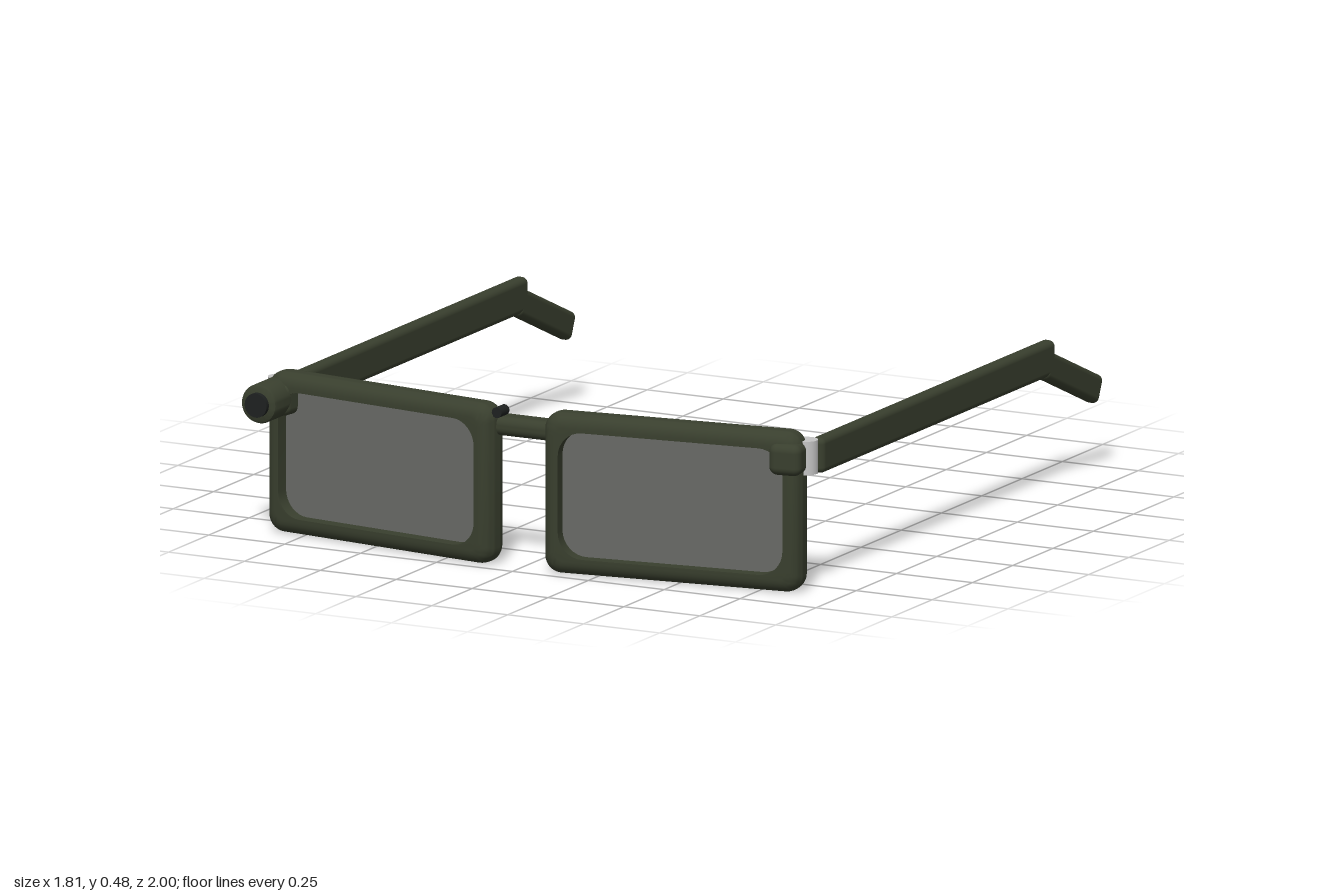
import * as THREE from 'three';
import { toCreasedNormals } from 'three/addons/utils/BufferGeometryUtils.js';
import { RoundedBoxGeometry } from 'three/addons/geometries/RoundedBoxGeometry.js';

const frameMat = new THREE.MeshStandardMaterial({ color: 0x393f2e });
frameMat.name = 'olive frame';
const lensMat = new THREE.MeshStandardMaterial({ color: 0x686a66 });
lensMat.name = 'grey lens';
const metalMat = new THREE.MeshStandardMaterial({ color: 0xc4c4c4 });
metalMat.name = 'hinge metal';
const darkMat = new THREE.MeshStandardMaterial({ color: 0x1e2120 });
darkMat.name = 'dark glass';

function add(parent, name, geometry, material, x = 0, y = 0, z = 0) {
  const mesh = new THREE.Mesh(geometry, material);
  mesh.name = name;
  mesh.position.set(x, y, z);
  parent.add(mesh);
  return mesh;
}

// Counter-clockwise outline of a rounded rectangle, 9 points per corner
function roundedRect(w, h, r) {
  const pts = [];
  for (let c = 0; c < 4; c++) {
    const cx = (c === 0 || c === 3 ? 1 : -1) * (w / 2 - r);
    const cy = (c < 2 ? 1 : -1) * (h / 2 - r);
    for (let i = 0; i <= 8; i++) {
      const a = (c + i / 8) * Math.PI / 2;
      pts.push(new THREE.Vector2(cx + r * Math.cos(a), cy + r * Math.sin(a)));
    }
  }
  return pts;
}

const W = 0.8, H = 0.48, DEPTH = 0.1, RIM = 0.051, ROUND = 0.04;

// Rim: square-cut opening with a softly rounded outside, lofted through rings
function rimGeometry() {
  const half = DEPTH / 2;
  const profile = [[RIM, half, 0.075]]; // inset, z, corner radius
  for (let i = 0; i <= 6; i++) {
    const a = i / 6 * Math.PI / 2;
    const inset = ROUND * (1 - Math.sin(a));
    profile.push([inset, half - ROUND + ROUND * Math.cos(a), 0.05 - inset * 0.5]);
  }
  const front = profile.length;
  for (let i = front - 1; i >= 0; i--) profile.push([profile[i][0], -profile[i][1], profile[i][2]]);

  const pos = [], idx = [];
  const n = 36, m = profile.length;
  for (const [inset, z, r] of profile) {
    for (const p of roundedRect(W - 2 * inset, H - 2 * inset, r)) pos.push(p.x, p.y, z);
  }
  for (let i = 0; i < m; i++) {
    for (let j = 0; j < n; j++) {
      const i2 = (i + 1) % m, j2 = (j + 1) % n;
      const a = i * n + j, b = i2 * n + j, c = i2 * n + j2, d = i * n + j2;
      idx.push(a, b, c, a, c, d);
    }
  }
  const g = new THREE.BufferGeometry();
  g.setAttribute('position', new THREE.Float32BufferAttribute(pos, 3));
  g.setIndex(idx);
  return toCreasedNormals(g, 0.7);
}

function lensGeometry() {
  const shape = new THREE.Shape(roundedRect(W - 2 * RIM + 0.01, H - 2 * RIM + 0.01, 0.075));
  const g = new THREE.ExtrudeGeometry(shape, { depth: 0.02, bevelEnabled: false });
  return g.translate(0, 0, -0.01);
}

export function createModel() {
  const model = new THREE.Group();
  model.name = 'cameraGlasses';
  const rim = rimGeometry(), lens = lensGeometry();

  for (const s of [1, -1]) {
    const side = s > 0 ? 'left' : 'right';

    // Rim and lens, swept back toward the temple
    const eye = new THREE.Group();
    eye.name = side + 'Eye';
    eye.position.set(s * 0.478, H / 2, 0.885);
    eye.rotation.y = s * 0.13;
    add(eye, side + 'Rim', rim, frameMat);
    add(eye, side + 'Lens', lens, lensMat);
    model.add(eye);

    // Corner block and hinge barrel
    const block = add(model, side + 'HingeBlock',
      new RoundedBoxGeometry(0.1, 0.095, 0.105, 4, 0.025), frameMat, s * 0.834, 0.401, 0.853);
    block.rotation.y = s * 0.13;
    add(model, side + 'Hinge',
      new THREE.CylinderGeometry(0.034, 0.034, 0.1, 32), metalMat, s * 0.868, 0.4, 0.81);

    // Temple arm with a bent ear tip
    add(model, side + 'Temple',
      new RoundedBoxGeometry(0.045, 0.106, 1.45, 4, 0.018), frameMat, s * 0.868, 0.388, 0.025);
    const tip = add(model, side + 'EarTip',
      new RoundedBoxGeometry(0.045, 0.085, 0.358, 4, 0.018), frameMat, s * 0.868, 0.302, -0.82);
    tip.rotation.x = -0.41;
  }

  // Bridge
  add(model, 'bridge', new RoundedBoxGeometry(0.27, 0.058, 0.08, 5, 0.025), frameMat, 0, 0.412, 0.905);

  // Camera barrel on the right corner
  const barrel = [[0, 0], [0.058, 0], [0.058, 0.155], [0.055, 0.163], [0.048, 0.167], [0, 0.167]]
    .map(([r, y]) => new THREE.Vector2(r, y));
  const barrelGeo = toCreasedNormals(new THREE.LatheGeometry(barrel, 40), 0.6);
  add(model, 'cameraBarrel', barrelGeo, frameMat, -0.846, 0.403, 0.818).rotation.x = Math.PI / 2;
  add(model, 'cameraLens', new THREE.CylinderGeometry(0.036, 0.036, 0.03, 32), darkMat,
    -0.846, 0.403, 0.985).rotation.x = Math.PI / 2;

  // Small sensor beside the bridge and a pinhole on the rim
  add(model, 'sensor', new THREE.CylinderGeometry(0.016, 0.016, 0.05, 20), darkMat,
    -0.076, 0.456, 0.93).rotation.x = Math.PI / 2;
  add(model, 'pinhole', new THREE.SphereGeometry(0.01, 16, 10), darkMat,
    -0.215, 0.469, 0.943).scale.set(1.2, 0.6, 0.8);

  return model;
}
